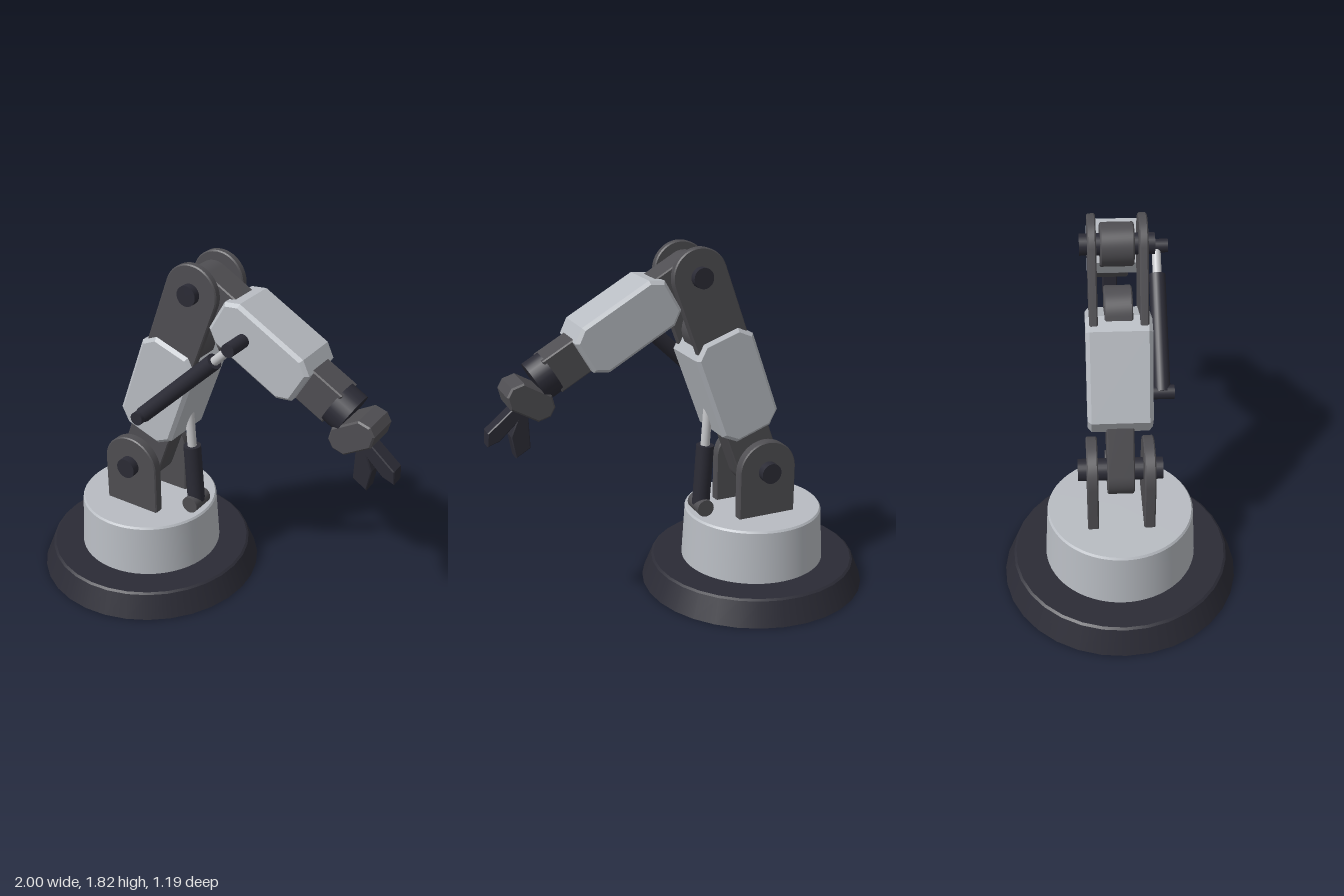
import * as THREE from 'three';
import { toCreasedNormals } from 'three/addons/utils/BufferGeometryUtils.js';

const mat = (name, color) => {
  const m = new THREE.MeshStandardMaterial({ color });
  m.name = name;
  return m;
};

export function createModel() {
  const light = mat('light grey shell', 0xb8bcc2);
  const grey = mat('dark grey frame', 0x4f4e52);
  const navy = mat('dark navy', 0x2b2b35);
  const steel = mat('steel rod', 0xc4c5c8);
  const root = new THREE.Group();
  root.name = 'roboticArm';

  const add = (parent, name, geo, material, x = 0, y = 0, z = 0) => {
    const mesh = new THREE.Mesh(geo, material);
    mesh.name = name;
    mesh.position.set(x, y, z);
    parent.add(mesh);
    return mesh;
  };

  // Joint group whose local +y points along a limb
  const joint = (name, x, y, degrees) => {
    const g = new THREE.Group();
    g.name = name;
    g.position.set(x, y, 0);
    g.rotation.z = THREE.MathUtils.degToRad(degrees);
    root.add(g);
    return g;
  };

  // Outline extruded along z, centred, with a small chamfer
  const slab = (shape, depth, bevel = 0.006) => {
    const g = new THREE.ExtrudeGeometry(shape, {
      depth: depth - 2 * bevel, bevelEnabled: true, bevelSegments: 1,
      bevelThickness: bevel, bevelSize: bevel, bevelOffset: -bevel, curveSegments: 14,
    });
    g.translate(0, 0, -depth / 2 + bevel);
    return toCreasedNormals(g, 0.4);
  };

  const polygon = (pts) => new THREE.Shape(pts.map(([x, y]) => new THREE.Vector2(x, y)));

  // Rectangle with cut corners
  const octagon = (w, y0, y1, cx, cy) => polygon([
    [-w + cx, y0], [w - cx, y0], [w, y0 + cy], [w, y1 - cy],
    [w - cx, y1], [-w + cx, y1], [-w, y1 - cy], [-w, y0 + cy],
  ]);

  // Bar from y0 to y1 with rounded ends where asked
  const bar = (r, y0, y1, roundLow, roundHigh) => {
    const s = new THREE.Shape();
    s.moveTo(-r, y0);
    if (roundLow) s.absarc(0, y0, r, Math.PI, 2 * Math.PI, false);
    else s.lineTo(r, y0);
    s.lineTo(r, y1);
    if (roundHigh) s.absarc(0, y1, r, 0, Math.PI, false);
    else s.lineTo(-r, y1);
    s.closePath();
    return s;
  };

  // Pivot pin lying along z
  const pin = (name, r, z0, z1, material, x, y) => {
    const g = new THREE.CylinderGeometry(r, r, z1 - z0, 24).rotateX(Math.PI / 2);
    add(root, name, g, material, x, y, (z0 + z1) / 2);
  };

  // Hydraulic cylinder between two points, the body covering part of the length
  const piston = (name, from, to, z, share, bodyR, rodR) => {
    const d = new THREE.Vector2(to[0] - from[0], to[1] - from[1]);
    const len = d.length();
    const g = joint(name, from[0], from[1], THREE.MathUtils.radToDeg(Math.atan2(-d.x, d.y)));
    g.position.z = z;
    add(g, 'pistonBody', new THREE.CylinderGeometry(bodyR, bodyR, len * share, 24), navy, 0, len * share / 2);
    add(g, 'pistonRod', new THREE.CylinderGeometry(rodR, rodR, len * (1 - share), 20), steel, 0, len * (1 + share) / 2);
  };

  // Base and turret
  const bx = -0.405;
  add(root, 'base', new THREE.CylinderGeometry(0.545, 0.595, 0.122, 32), navy, bx, 0.061);
  add(root, 'baseRim', new THREE.CylinderGeometry(0.533, 0.545, 0.008, 32), navy, bx, 0.126);
  add(root, 'turret', new THREE.CylinderGeometry(0.363, 0.38, 0.272, 64), light, bx, 0.266);
  add(root, 'turretRim', new THREE.CylinderGeometry(0.355, 0.363, 0.01, 64), light, bx, 0.407);

  // Shoulder brackets and pin
  const sy = 0.655;
  for (const s of [-1, 1]) {
    add(root, 'shoulderBracket', slab(bar(0.16, -0.25, 0, false, true), 0.054), grey, bx, sy, s * 0.137);
  }
  pin('shoulderPin', 0.054, -0.206, 0.206, navy, bx, sy);

  // Lower arm: inner link, shell and elbow fork
  const lower = joint('lowerArm', bx, sy, -20);
  add(lower, 'lowerLink', slab(bar(0.12, 0, 0.78, true, true), 0.13), grey);
  add(lower, 'lowerShell', slab(octagon(0.162, 0.225, 0.78, 0.065, 0.06), 0.306, 0.018), light);
  for (const s of [-1, 1]) {
    add(lower, 'elbowFork', slab(bar(0.14, 0.6, 1.09, false, true), 0.04), grey, 0, 0, s * 0.116);
  }

  // Elbow pin
  const ex = -0.032, ey = 1.68;
  pin('elbowPin', 0.05, -0.172, 0.172, navy, ex, ey);

  // Forearm: inner link, shell, wrist link and wrist collar
  const fore = joint('forearm', ex, ey, -120);
  add(fore, 'forearmLink', slab(bar(0.1, 0, 0.4, true, false), 0.154), grey);
  add(fore, 'forearmShell', slab(octagon(0.128, 0.155, 0.665, 0.045, 0.065), 0.266, 0.016), light);
  add(fore, 'wristLink', slab(bar(0.09, 0.5, 0.83, false, false), 0.154), grey);
  add(fore, 'wristCollar', new THREE.CylinderGeometry(0.105, 0.105, 0.09, 28), navy, 0, 0.86);

  // Gripper palm and two fingers
  const palm = joint('gripper', 0.795, 1.16, -150);
  add(palm, 'palm', slab(octagon(0.115, -0.07, 0.068, 0.042, 0.045), 0.194, 0.008), grey);
  const fingers = [
    [[0.79, 1.115], [0.84, 1.15], [0.993, 1.022], [0.998, 0.956], [0.938, 0.977]],
    [[0.8, 1.13], [0.796, 0.924], [0.868, 0.881], [0.886, 0.99], [0.835, 1.11]],
  ];
  fingers.forEach((p) => add(root, 'finger', slab(polygon(p), 0.082, 0.005), navy));

  // Side piston between the shells
  piston('sidePiston', [-0.275, 1.015], [0.25, 1.515], 0.205, 0.8, 0.04, 0.022);
  pin('sidePistonLowerPin', 0.034, 0.14, 0.262, navy, -0.275, 1.015);
  pin('sidePistonUpperPin', 0.033, 0.12, 0.262, navy, 0.25, 1.515);

  // Lift piston between the turret and the lower arm
  piston('liftPiston', [-0.1, 0.465], [-0.142, 1.05], 0, 0.55, 0.046, 0.024);
  pin('liftPistonPin', 0.045, -0.065, 0.065, grey, -0.1, 0.46);

  return root;
}
